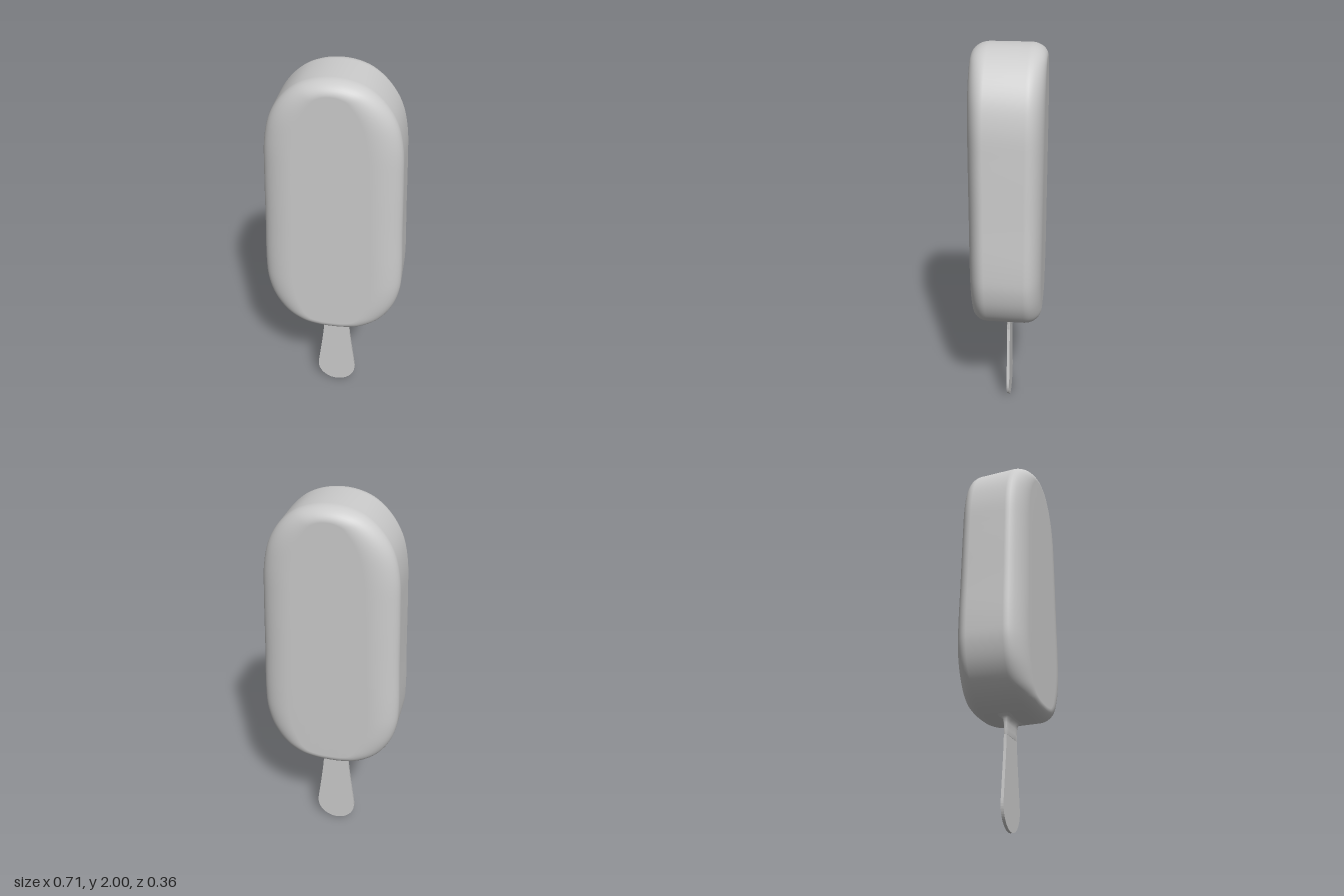
import * as THREE from 'three';
import { mergeVertices } from 'three/addons/utils/BufferGeometryUtils.js';

const material = new THREE.MeshStandardMaterial({ color: 0xcccccc, roughness: 0.7 });

// Smooth skin over a list of closed rings with equal point counts
function loft(rings) {
  const n = rings[0].length;
  const index = [];
  for (let i = 0; i < rings.length - 1; i++) {
    for (let j = 0; j < n; j++) {
      const a = i * n + j, b = i * n + (j + 1) % n;
      index.push(a, a + n, b, b, a + n, b + n);
    }
  }
  let geometry = new THREE.BufferGeometry().setFromPoints(rings.flat());
  geometry.setIndex(index);
  geometry = mergeVertices(geometry, 1e-5);
  geometry.computeVertexNormals();
  return geometry;
}

function part(name, geometry) {
  const mesh = new THREE.Mesh(geometry, material);
  mesh.name = name;
  return mesh;
}

// Tapered bar with a domed top and softly rounded front and back edges
function barGeometry() {
  const half = [
    [0.09, 0.56], [0.18, 0.583], [0.26, 0.637], [0.32, 0.73], [0.35, 0.84], [0.355, 0.96],
    [0.346, 1.2], [0.336, 1.5], [0.325, 1.68], [0.295, 1.8], [0.24, 1.891], [0.165, 1.958], [0.085, 1.99],
  ];
  const points = [[0, 0.555], ...half, [0, 2], ...half.map(([x, y]) => [-x, y]).reverse()];
  const curve = new THREE.CatmullRomCurve3(points.map(([x, y]) => new THREE.Vector3(x, y, 0)), true, 'centripetal');
  const count = 120;
  const outline = [];
  for (let i = 0; i < count; i++) {
    const p = curve.getPoint(i / count), t = curve.getTangent(i / count);
    outline.push({ p, nx: t.y, ny: -t.x });
  }
  const depth = 0.181, roundX = 0.15, roundY = 0.06, roundZ = 0.085, steps = 10;
  const ring = (angle, side) => outline.map(({ p, nx, ny }) => {
    const inset = 1 - Math.cos(angle);
    return new THREE.Vector3(p.x - nx * roundX * inset, p.y - ny * roundY * inset,
      side * (depth - roundZ * (1 - Math.sin(angle))));
  });
  // Faces shrink towards a vertical centre line
  const face = (side) => [0, 0.5].map((s) => ring(Math.PI / 2, side).map((p) =>
    new THREE.Vector3(p.x * s, 1.28 + (p.y - 1.28) * s, p.z)));
  const front = face(1), back = face(-1).reverse();
  const rings = [...front];
  for (let i = steps; i >= 0; i--) rings.push(ring(i / steps * Math.PI / 2, 1));
  for (let i = 0; i <= steps; i++) rings.push(ring(i / steps * Math.PI / 2, -1));
  return loft([...rings, ...back]);
}

// Thin coating that flares from the stick into the underside of the bar
function collarGeometry() {
  const sections = [ // y, half width, half thickness
    [0.58, 0.13, 0.07], [0.562, 0.1, 0.045], [0.552, 0.086, 0.024], [0.54, 0.079, 0.015],
    [0.52, 0.075, 0.011], [0.49, 0.072, 0.01], [0.462, 0.071, 0.01], [0.46, 0.067, 0.006],
  ];
  const soft = (v) => Math.sign(v) * Math.pow(Math.abs(v), 0.4);
  return loft(sections.map(([y, w, d]) => Array.from({ length: 40 }, (_, i) => {
    const a = i / 40 * Math.PI * 2;
    return new THREE.Vector3(w * soft(Math.cos(a)), y, -d * soft(Math.sin(a)));
  })));
}

// Flat stick, wider at its rounded lower end
function stickGeometry() {
  const shape = new THREE.Shape();
  shape.moveTo(0.07, 0.62);
  shape.lineTo(0.07, 0.46);
  shape.bezierCurveTo(0.075, 0.36, 0.094, 0.24, 0.107, 0.13);
  shape.bezierCurveTo(0.115, 0.06, 0.065, 0, 0, 0);
  shape.bezierCurveTo(-0.065, 0, -0.115, 0.06, -0.107, 0.13);
  shape.bezierCurveTo(-0.094, 0.24, -0.075, 0.36, -0.07, 0.46);
  shape.lineTo(-0.07, 0.62);
  const depth = 0.015;
  return new THREE.ExtrudeGeometry(shape, { depth, bevelEnabled: false, curveSegments: 16 })
    .translate(0, 0, -depth / 2);
}

export function createModel() {
  const group = new THREE.Group();
  group.name = 'icePop';
  group.add(
    part('iceCreamBar', barGeometry()),
    part('coatingCollar', collarGeometry()),
    part('stick', stickGeometry()),
  );
  return group;
}
